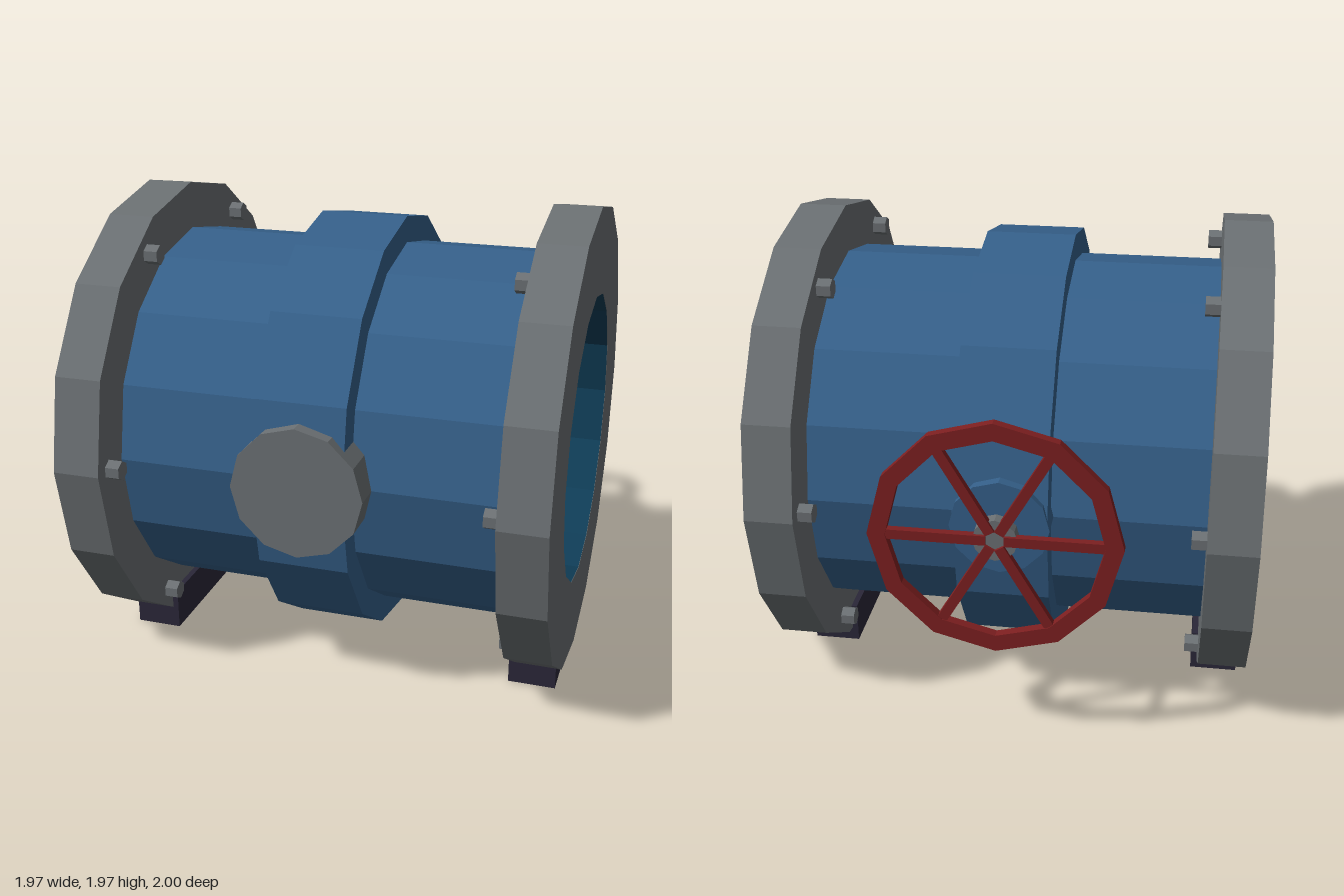
import * as THREE from 'three';

const CY = 0.985, CZ = 0.015; // pipe axis

function material(name, color) {
  const m = new THREE.MeshStandardMaterial({ color, flatShading: true });
  m.name = name;
  return m;
}

export function createModel() {
  const blue = material('blue paint', 0x35608a);
  const grey = material('grey steel', 0x6b7073);
  const teal = material('dark teal lining', 0x0f3d57);
  const red = material('red paint', 0x7d1f20);
  const dark = material('dark foot', 0x2a2738);

  const model = new THREE.Group();
  model.name = 'pipeValve';

  function add(parent, name, geometry, mat, x = 0, y = 0, z = 0) {
    const mesh = new THREE.Mesh(geometry, mat);
    mesh.name = name;
    mesh.position.set(x, y, z);
    parent.add(mesh);
    return mesh;
  }

  // Turned profile of [radius, height] pairs
  const turned = (profile, sides) =>
    new THREE.LatheGeometry(profile.map(([r, h]) => new THREE.Vector2(r, h)), sides);
  // Closed ring with a rectangular section
  const ring = (inner, outer, h0, h1, sides) =>
    turned([[inner, h0], [outer, h0], [outer, h1], [inner, h1], [inner, h0]], sides);
  const alongX = (g) => g.rotateZ(-Math.PI / 2);
  const alongZ = (g) => g.rotateX(Math.PI / 2);
  // Cylinder lying along z between two depths
  const rod = (r, z0, z1, sides) =>
    alongZ(new THREE.CylinderGeometry(r, r, z1 - z0, sides)).translate(0, 0, (z0 + z1) / 2);

  // Pipe body, lining and middle band
  const pipe = new THREE.Group();
  pipe.name = 'pipe';
  pipe.position.set(0, CY, CZ);
  model.add(pipe);
  add(pipe, 'body', alongX(turned([[0.787, -0.79], [0.787, 0.79]], 16)), blue);
  add(pipe, 'lining', alongX(turned([[0.613, 0.984], [0.613, -0.984]], 16)), teal);
  add(pipe, 'middleBand', alongX(ring(0.75, 0.898, -0.185, 0.185, 16)), blue);

  for (const side of [-1, 1]) {
    const label = side > 0 ? 'left' : 'right';
    // End flange
    const [x0, x1] = side > 0 ? [0.79, 0.985] : [-0.985, -0.79];
    add(pipe, label + 'Flange', alongX(ring(0.616, 0.985, x0, x1, 16)), grey);
    // Bolt heads on the inner face of the flange
    for (let i = 0; i < 6; i++) {
      const a = (i * Math.PI) / 3;
      const head = alongX(new THREE.CylinderGeometry(0.041, 0.041, 0.08, 6).rotateY(Math.PI / 2));
      add(pipe, label + 'Bolt', head, grey,
        side * 0.772, 0.89 * Math.sin(a), 0.89 * Math.cos(a));
    }
    // Foot under the flange
    add(model, label + 'Foot', new THREE.BoxGeometry(0.2, 0.18, 0.73), dark,
      side * 0.865, 0.09, 0.06);
  }

  // Round cover at the front, bonnet at the back
  add(model, 'frontCover', rod(0.268, 0.74, 0.917, 12), grey, 0, CY);
  add(model, 'bonnet', rod(0.196, -0.888, -0.7, 12), blue, 0, CY);

  // Stem and hub
  add(model, 'stem', rod(0.055, -0.945, -0.86, 12), grey, 0, CY);
  add(model, 'hub', rod(0.087, -0.984, -0.935, 12), grey, 0, CY);

  // Handwheel with six spokes
  const wheel = new THREE.Group();
  wheel.name = 'handwheel';
  wheel.position.set(0, CY + 0.003, -0.981);
  model.add(wheel);
  add(wheel, 'rim', alongZ(ring(0.42, 0.49, -0.019, 0.019, 12)), red);
  for (let i = 0; i < 6; i++) {
    const a = (i * Math.PI) / 3;
    const spoke = add(wheel, 'spoke', new THREE.BoxGeometry(0.4, 0.04, 0.03), red,
      0.235 * Math.cos(a), 0.235 * Math.sin(a), 0);
    spoke.rotation.z = a;
  }

  return model;
}
